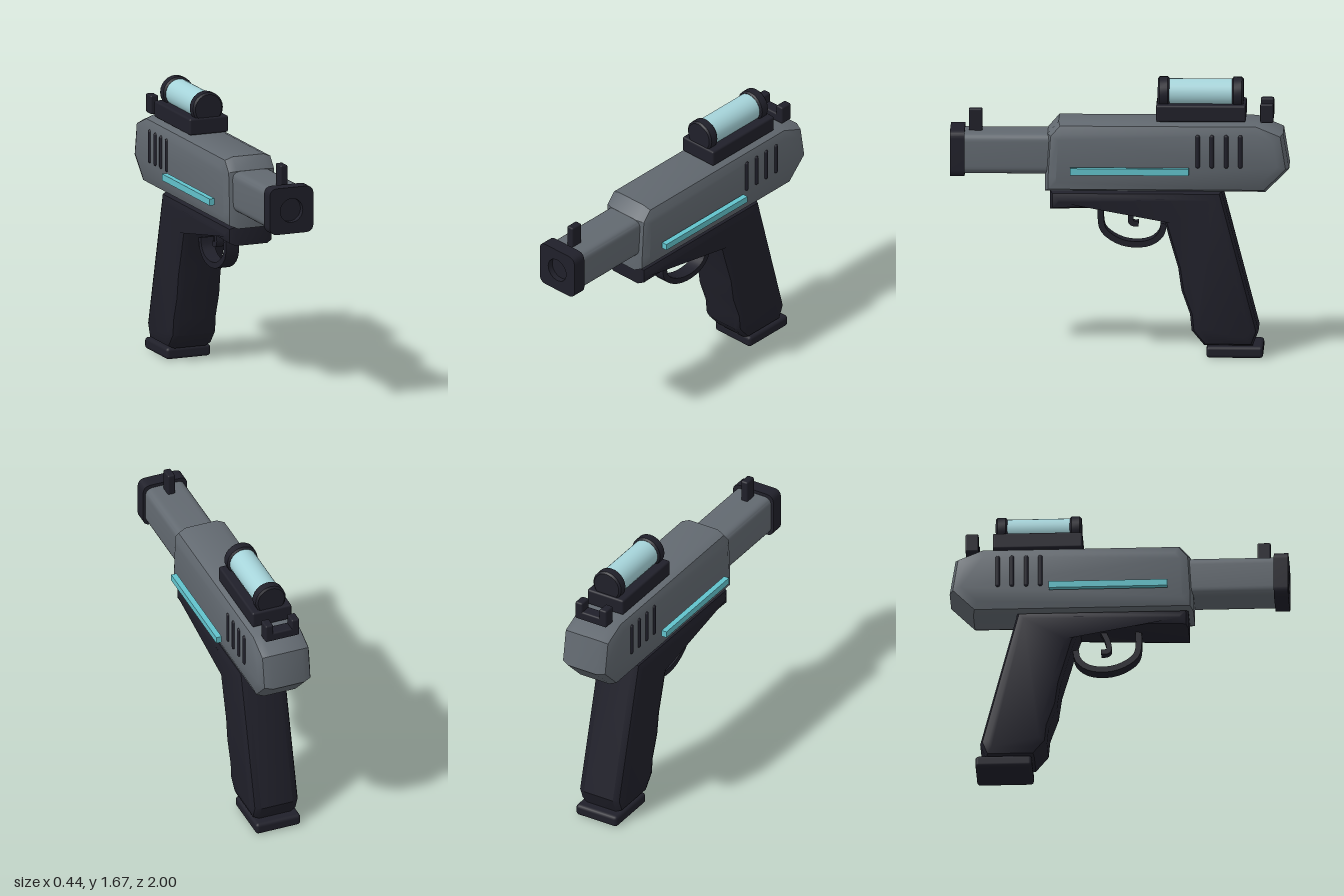
import * as THREE from 'three';
import { toCreasedNormals } from 'three/addons/utils/BufferGeometryUtils.js';
import { RoundedBoxGeometry } from 'three/addons/geometries/RoundedBoxGeometry.js';

const mat = (name, color) => {
  const m = new THREE.MeshStandardMaterial({ color });
  m.name = name;
  return m;
};

export function createModel() {
  const grey = mat('gunmetal grey', 0x626970);
  const dark = mat('dark polymer', 0x20202a);
  const cyan = mat('cyan accent', 0x62c3cc);
  const glass = mat('pale glass', 0xa6d4da);
  const model = new THREE.Group();
  model.name = 'pistol';

  const add = (name, geometry, material, x = 0, y = 0, z = 0, parent = model) => {
    const mesh = new THREE.Mesh(geometry, material);
    mesh.name = name;
    mesh.position.set(x, y, z);
    parent.add(mesh);
    return mesh;
  };

  // Side profile of [z, y] points, extruded across x with edges rounded inward
  const sideSlab = (points, halfWidth, bevel, segments = 2) => {
    const shape = new THREE.Shape(points.map(([z, y]) => new THREE.Vector2(z, y)));
    const g = new THREE.ExtrudeGeometry(shape, {
      depth: 2 * (halfWidth - bevel), bevelEnabled: bevel > 0, bevelSize: bevel,
      bevelThickness: bevel, bevelOffset: -bevel, bevelSegments: segments,
    });
    g.translate(0, 0, bevel - halfWidth);
    g.rotateY(-Math.PI / 2);
    return toCreasedNormals(g, 0.6);
  };

  // Flat strip of constant thickness following a [z, y] path
  const ribbon = (points, thickness, halfWidth) => {
    const curve = new THREE.SplineCurve(points.map(([z, y]) => new THREE.Vector2(z, y)));
    const outer = [], inner = [];
    for (let i = 0; i <= 20; i++) {
      const p = curve.getPoint(i / 20), t = curve.getTangent(i / 20);
      const dx = -t.y * thickness / 2, dy = t.x * thickness / 2;
      outer.push([p.x + dx, p.y + dy]);
      inner.unshift([p.x - dx, p.y - dy]);
    }
    return sideSlab([...outer, ...inner], halfWidth, 0);
  };

  // Rounded rectangle centred on the origin
  const roundedRect = (w, h, r) => {
    const s = new THREE.Shape(), x = w / 2, y = h / 2;
    s.moveTo(-x + r, -y);
    s.lineTo(x - r, -y).quadraticCurveTo(x, -y, x, -y + r);
    s.lineTo(x, y - r).quadraticCurveTo(x, y, x - r, y);
    s.lineTo(-x + r, y).quadraticCurveTo(-x, y, -x, y - r);
    s.lineTo(-x, -y + r).quadraticCurveTo(-x, -y, -x + r, -y);
    return s;
  };
  const alongZ = (shape, depth) => toCreasedNormals(
    new THREE.ExtrudeGeometry(shape, { depth, bevelEnabled: false, curveSegments: 6 }), 0.6);

  // Main body and barrel
  add('body', sideSlab([
    [0.44, 1.0], [0.44, 1.1], [0.425, 1.345], [0.36, 1.42], [-0.81, 1.42],
    [-0.965, 1.355], [-1.0, 1.14], [-0.86, 1.0],
  ], 0.165, 0.065), grey);
  add('barrel', alongZ(roundedRect(0.25, 0.245, 0.05), 0.6), grey, 0, 1.222, 0.33);

  // Muzzle cap with a shallow bore
  const cap = roundedRect(0.28, 0.28, 0.05);
  cap.holes.push(new THREE.Path().absarc(0, 0, 0.072, 0, Math.PI * 2, true));
  const capGeometry = toCreasedNormals(
    new THREE.ExtrudeGeometry(cap, { depth: 0.085, bevelEnabled: false, curveSegments: 16 }), 0.6);
  add('muzzleCap', capGeometry, dark, 0, 1.225, 0.915);
  add('muzzleBore', new THREE.CircleGeometry(0.074, 32), dark, 0, 1.225, 0.965);

  // Grip, underframe and magazine base
  add('gripFrame', sideSlab([
    [0.41, 1.005], [0.41, 0.89], [-0.23, 0.91], [-0.27, 0.8], [-0.295, 0.71],
    [-0.345, 0.54], [-0.365, 0.4], [-0.415, 0.26], [-0.425, 0.16], [-0.5, 0.07],
    [-0.785, 0.07], [-0.82, 0.16], [-0.6, 1.005],
  ], 0.15, 0.05), dark);
  add('gripBase', new RoundedBoxGeometry(0.285, 0.07, 0.335, 2, 0.02), dark, 0, 0.035, -0.68);

  // Trigger and guard
  add('triggerGuard', ribbon([
    [0.112, 0.92], [0.112, 0.8], [0.085, 0.735], [0.0, 0.68], [-0.1, 0.662],
    [-0.19, 0.68], [-0.245, 0.73], [-0.258, 0.79],
  ], 0.036, 0.042), dark);
  add('trigger', ribbon([
    [-0.105, 0.93], [-0.075, 0.865], [-0.062, 0.81], [-0.075, 0.787], [-0.11, 0.785],
  ], 0.032, 0.025), dark);

  // Side vents and glowing strips on both flanks
  const ventGeometry = new THREE.CapsuleGeometry(0.014, 0.175, 4, 10);
  for (const side of [-1, 1]) {
    const name = side > 0 ? 'left' : 'right';
    for (let i = 0; i < 4; i++) {
      add(`${name}Vent${i + 1}`, ventGeometry, dark, side * 0.162, 1.255, -0.462 - i * 0.084);
    }
    add(`${name}Strip`, new THREE.BoxGeometry(0.034, 0.04, 0.7), cyan, side * 0.202, 1.14, -0.06);
  }

  // Scope: rail, glass tube and end rings
  const scope = new THREE.Group();
  scope.name = 'scope';
  model.add(scope);
  add('scopeRail', new RoundedBoxGeometry(0.25, 0.1, 0.53, 2, 0.012), dark, 0, 1.473, -0.48, scope);
  const tube = new THREE.CylinderGeometry(0.084, 0.084, 0.4, 28).rotateX(Math.PI / 2);
  add('scopeGlass', tube, glass, 0, 1.575, -0.478, scope);
  const ringProfile = [[0, -0.034], [0.085, -0.034], [0.096, -0.024], [0.096, 0.024], [0.085, 0.034], [0, 0.034]];
  const ring = toCreasedNormals(new THREE.LatheGeometry(
    ringProfile.map(([r, y]) => new THREE.Vector2(r, y)), 24), 0.6).rotateX(Math.PI / 2);
  add('scopeFrontRing', ring, dark, 0, 1.575, -0.258, scope);
  add('scopeRearRing', ring, dark, 0, 1.575, -0.695, scope);

  // Front post and notched rear sight
  add('frontSight', new RoundedBoxGeometry(0.046, 0.15, 0.08, 2, 0.01), dark, 0, 1.4, 0.852);
  const rearSight = new THREE.Group();
  rearSight.name = 'rearSight';
  model.add(rearSight);
  add('rearSightBase', new RoundedBoxGeometry(0.216, 0.055, 0.078, 2, 0.01), dark, 0, 1.444, -0.868, rearSight);
  for (const side of [-1, 1]) {
    add(side > 0 ? 'leftSightPost' : 'rightSightPost',
      new RoundedBoxGeometry(0.05, 0.112, 0.078, 2, 0.01), dark, side * 0.083, 1.474, -0.868, rearSight);
  }
  return model;
}
